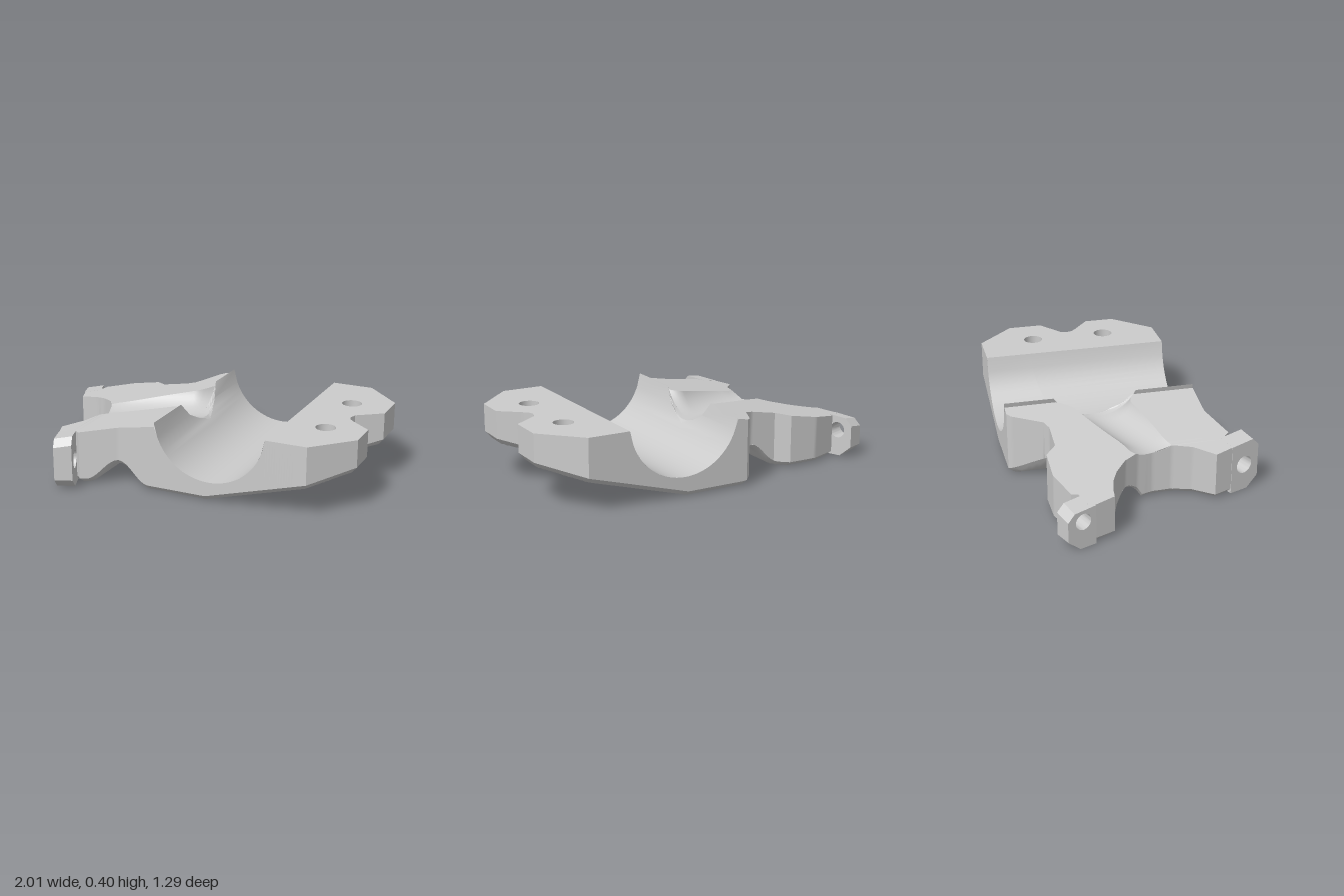
import * as THREE from 'three';
import { toCreasedNormals } from 'three/addons/utils/BufferGeometryUtils.js';

const clamp = THREE.MathUtils.clamp;
const material = new THREE.MeshStandardMaterial({ color: 0xcccccc, side: THREE.DoubleSide });

// Plan outline of the body as [x, z], front edge first, then right, back, left
const outline = [
  [-0.29, 0.42], [-0.07, 0.42], [0.23, 0.42], [0.57, 0.42], [0.8, 0.42], [1, 0.21], [1, 0.04],
  [0.89, -0.05], [0.86, -0.08], [0.853, -0.107], [0.865, -0.15], [1, -0.25], [1, -0.445],
  [0.8, -0.65], [0.57, -0.65], [0.23, -0.65], [-0.07, -0.65], [-0.13, -0.65], [-0.155, -0.63],
  [-0.24, -0.465], [-0.29, -0.445], [-0.445, -0.445], [-0.515, -0.505], [-0.685, -0.505],
  [-0.845, -0.445], [-0.853, -0.41], [-0.956, -0.372], [-0.9, -0.235], [-0.85, -0.23],
  [-0.78, -0.212], [-0.715, -0.18], [-0.635, -0.115], [-0.585, -0.035], [-0.558, 0.055],
  [-0.555, 0.16], [-0.59, 0.265], [-0.675, 0.37], [-0.621, 0.497], [-0.528, 0.461], [-0.5, 0.49],
];

// Bolt holes in the flange
const bolts = [[0.785, -0.335], [0.785, 0.1]];
const BORE = 0.055, SEAT = 0.1, SEAT_Y = 0.197;
const circle = ([cx, cz], r, n = 28) => Array.from({ length: n }, (_, i) => {
  const a = ((i + 0.5) / n) * Math.PI * 2;
  return [cx + r * Math.cos(a), cz + r * Math.sin(a)];
});

// Unit direction along the line of the two lugs
const DX = 0.36, DZ = 0.933;

// Top without the channel: sloped arms, round cradle, flat flange
function baseTop(x) {
  if (x <= -0.07) return 0.375 + 0.177 * (x + 0.07);
  if (x >= 0.57) return 0.4;
  return 0.43 - Math.sqrt(Math.max(0.001, 0.32 ** 2 - (x - 0.25) ** 2));
}

// Channel between the arms, flared at both ends
const FLOOR = 0.26, CHANNEL_S = -0.16;
const channelRadius = (x) => 0.16 + 0.08 * clamp((x + 0.15) / 0.08, 0, 1) ** 2
  + 0.06 * clamp((-0.46 - x) / 0.1, 0, 1) ** 2;
function channelHalf(x) {
  const r = channelRadius(x), drop = FLOOR + r - baseTop(x);
  return x > 0.25 || drop > r ? 0 : Math.sqrt(r * r - drop * drop);
}
function top(x, z) {
  const h = baseTop(x), r = channelRadius(x), s = x * DX + z * DZ - CHANNEL_S;
  if (Math.abs(s) >= channelHalf(x)) return h;
  return Math.min(h, FLOOR + r - Math.sqrt(r * r - s * s));
}
const topSplits = (x) => Array.from({ length: 17 }, (_, i) =>
  (CHANNEL_S - channelHalf(x) * Math.cos((i / 16) * Math.PI) - x * DX) / DZ);

// Distance to the outline, used to bevel the lower edge
function edgeDistance(x, z) {
  let best = 1;
  outline.forEach(([ax, az], i) => {
    const [bx, bz] = outline[(i + 1) % outline.length];
    const dx = bx - ax, dz = bz - az;
    const t = clamp(((x - ax) * dx + (z - az) * dz) / (dx * dx + dz * dz), 0, 1);
    best = Math.min(best, Math.hypot(x - ax - t * dx, z - az - t * dz));
  });
  return best;
}

// Underside: flat, rising flange, cross arch and lengthwise groove
function bottom(x, z) {
  const ramp = Math.max(0, (x - 0.23) * 0.286);
  const u = (x + 0.29) / 0.18;
  const arch = Math.abs(u) < 1 ? 0.06 * (1 + Math.cos(Math.PI * u)) : 0;
  const groove = 0.09 * (1 - ((z + 0.105) / 0.1) ** 2);
  return Math.max(ramp, arch, groove) + Math.max(0, 0.028 - edgeDistance(x, z));
}
const gridSplits = () => Array.from({ length: 65 }, (_, i) => -0.645 + i * 0.02);

// Fills the area inside the loops with strips, raised to height(x, z)
function fill(out, loops, height, splits, down) {
  const edges = loops.flatMap((l) => l.map((p, i) => [p, l[(i + 1) % l.length]]));
  const xs = [...loops.flat().map((p) => p[0]), 0.97];
  for (let x = -0.99; x < 1; x += 0.02) xs.push(x);
  xs.sort((a, b) => a - b);
  const zAt = ([a, b], x) => a[1] + ((x - a[0]) / (b[0] - a[0])) * (b[1] - a[1]);
  for (let i = 0; i + 1 < xs.length; i++) {
    const x0 = xs[i], x1 = xs[i + 1], mid = (x0 + x1) / 2;
    if (x1 - x0 < 1e-6) continue;
    const hit = edges.filter(([a, b]) => (a[0] < mid) !== (b[0] < mid))
      .sort((p, q) => zAt(p, mid) - zAt(q, mid));
    for (let k = 0; k + 1 < hit.length; k += 2) {
      const row = (x) => {
        const lo = zAt(hit[k], x), hi = zAt(hit[k + 1], x);
        return [lo, ...splits(x).map((z) => clamp(z, lo, hi)), hi];
      };
      const r0 = row(x0), r1 = row(x1);
      for (let j = 0; j + 1 < r0.length; j++) {
        const quad = [[x0, r0[j]], [x0, r0[j + 1]], [x1, r1[j + 1]], [x1, r1[j]]]
          .map(([x, z]) => [x, height(x, z), z]);
        if (down) quad.reverse();
        const [a, b, c, d] = quad;
        if (Math.abs(a[2] - b[2]) + Math.abs(c[2] - d[2]) > 1e-6) out.push(...a, ...b, ...c, ...a, ...c, ...d);
      }
    }
  }
}

// Upright wall along a closed loop
function wall(out, loop, low, high) {
  loop.forEach((p, i) => {
    const q = loop[(i + 1) % loop.length];
    const n = Math.ceil(Math.hypot(q[0] - p[0], q[1] - p[1]) / 0.015);
    const at = (t) => [p[0] + (q[0] - p[0]) * t, p[1] + (q[1] - p[1]) * t];
    for (let k = 0; k < n; k++) {
      const [ax, az] = at(k / n), [bx, bz] = at((k + 1) / n);
      const a = [ax, low(ax, az), az], b = [bx, low(bx, bz), bz];
      const c = [bx, high(bx, bz), bz], d = [ax, high(ax, az), az];
      out.push(...a, ...b, ...c, ...a, ...c, ...d);
    }
  });
}

function meshFrom(points, name) {
  const geo = new THREE.BufferGeometry();
  geo.setAttribute('position', new THREE.Float32BufferAttribute(points, 3));
  const mesh = new THREE.Mesh(toCreasedNormals(geo, 0.5), material);
  mesh.name = name;
  return mesh;
}

// Bevelled lug plate with a cross hole, running from s0 to its free end s1
function lug(name, s0, s1, holeS, holeR) {
  const dir = Math.sign(s1 - s0);
  const h = (s) => baseTop(-0.661 + DX * s);
  const shape = new THREE.Shape([
    [s0, 0], [s1 - dir * 0.07, 0], [s1, 0.06], [s1, h(s1) - 0.04], [s1 - dir * 0.04, h(s1)], [s0, h(s0)],
  ].map(([x, y]) => new THREE.Vector2(x, y)));
  shape.holes.push(new THREE.Path().absarc(holeS, 0.15, holeR, 0, Math.PI * 2, true));
  const geo = new THREE.ExtrudeGeometry(shape, { depth: 0.1, bevelEnabled: false, curveSegments: 20 });
  geo.translate(0, 0, 0.662);
  // Tilt the upper face to follow the arm
  const p = geo.attributes.position;
  for (let i = 0; i < p.count; i++) {
    if (p.getY(i) > h(s1) - 0.05 && Math.abs(p.getX(i) - holeS) > holeR) {
      p.setY(i, p.getY(i) - 0.165 * (p.getZ(i) - 0.711));
    }
  }
  const mesh = new THREE.Mesh(toCreasedNormals(geo, 0.5), material);
  mesh.name = name;
  mesh.rotation.y = -Math.atan2(DZ, DX);
  return mesh;
}

export function createModel() {
  const model = new THREE.Group();
  model.name = 'clampBracket';

  // Cradle, flange and arms in one body
  const body = [];
  fill(body, [outline, ...bolts.map((b) => circle(b, BORE))], top, topSplits, false);
  fill(body, [outline, ...bolts.map((b) => circle(b, SEAT))], bottom, gridSplits, true);
  wall(body, outline, bottom, top);
  model.add(meshFrom(body, 'body'));

  // Bolt bores with flat seats underneath
  for (const b of bolts) {
    const hole = [];
    wall(hole, circle(b, BORE), () => SEAT_Y, top);
    wall(hole, circle(b, SEAT), bottom, () => SEAT_Y);
    fill(hole, [circle(b, SEAT), circle(b, BORE)], () => SEAT_Y, () => [], true);
    model.add(meshFrom(hole, 'boltHole'));
  }

  model.add(lug('frontLug', 0.21, 0.39, 0.295, 0.05));
  model.add(lug('backLug', -0.66, -0.825, -0.735, 0.045));
  return model;
}
